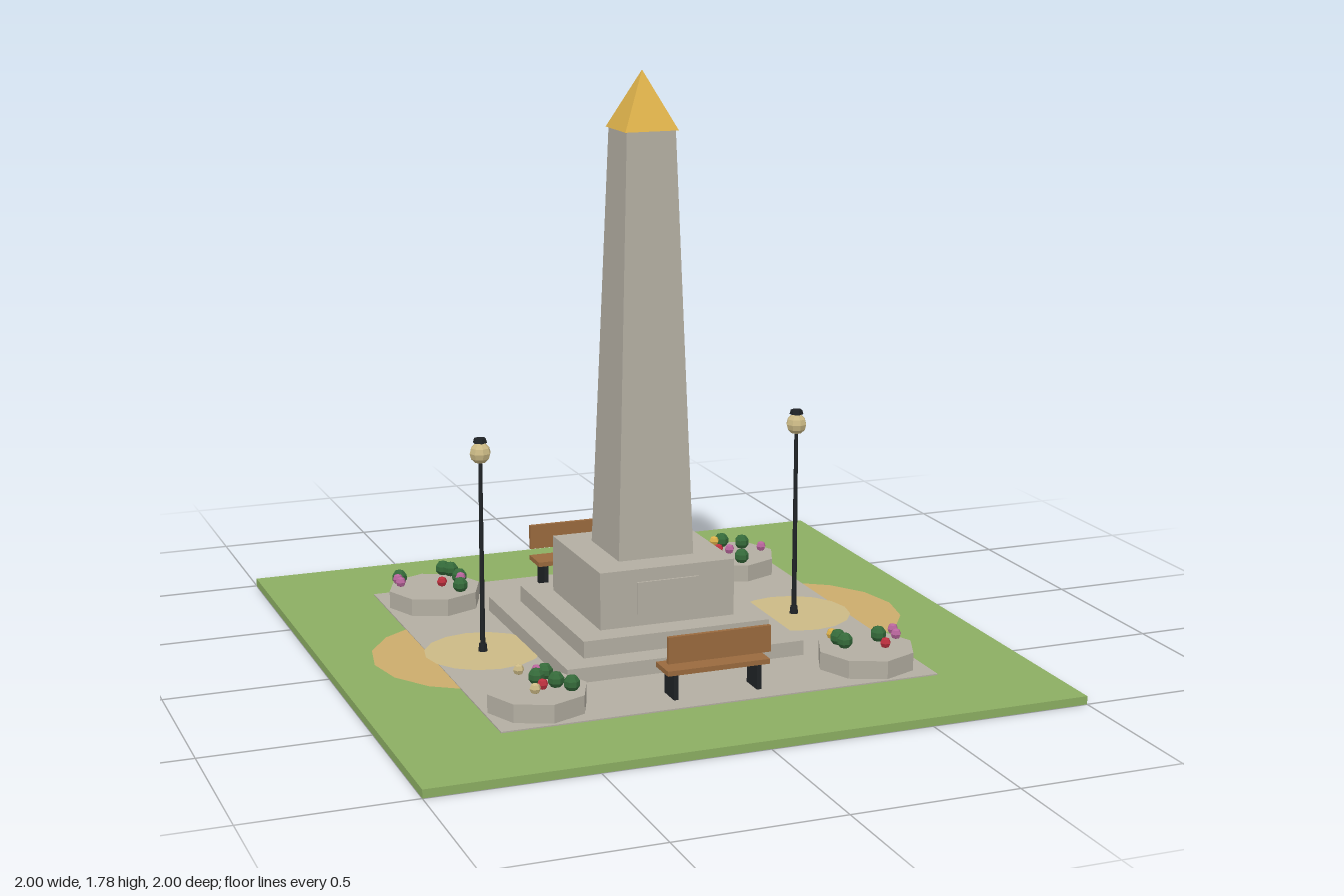
import * as THREE from 'three';

const mat = (name, color) => {
  const m = new THREE.MeshStandardMaterial({ color, flatShading: true });
  m.name = name;
  return m;
};

export function createModel() {
  const grass = mat('grass', 0x8cae62);
  const stone = mat('stone', 0xb3aea2);
  const gold = mat('gold', 0xdcb04a);
  const metal = mat('blackMetal', 0x1f2326);
  const wood = mat('wood', 0x9a6a3e);
  const glow = mat('outerGlow', 0xcbab6c);
  const cream = mat('lampCream', 0xcbb985);
  const leaf = mat('leaf', 0x356a3a);
  const pink = mat('pinkPetal', 0xb8659c);
  const red = mat('redPetal', 0xbc303e);

  const model = new THREE.Group();
  model.name = 'obeliskPlaza';

  const add = (parent, name, geo, material, x = 0, y = 0, z = 0) => {
    const mesh = new THREE.Mesh(geo, material);
    mesh.name = name;
    mesh.position.set(x, y, z);
    parent.add(mesh);
    return mesh;
  };
  // Box placed by its bottom height
  const box = (parent, name, w, h, d, material, x, y0, z) =>
    add(parent, name, new THREE.BoxGeometry(w, h, d), material, x, y0 + h / 2, z);
  // Square frustum given by half widths
  const frustum = (name, top, bottom, y0, y1, material) => {
    const geo = new THREE.CylinderGeometry(top * Math.SQRT2, bottom * Math.SQRT2, y1 - y0, 4);
    geo.rotateY(Math.PI / 4);
    add(model, name, geo, material, 0, (y0 + y1) / 2, 0);
  };

  // Ground and paving
  box(model, 'lawn', 2, 0.025, 2, grass, 0, 0, 0);
  box(model, 'paving', 1.36, 0.005, 1.36, stone, 0, 0.024, 0);

  // Monument
  box(model, 'lowerStep', 0.76, 0.05, 0.76, stone, 0, 0.025, 0);
  box(model, 'upperStep', 0.6, 0.052, 0.6, stone, 0, 0.075, 0);
  box(model, 'plinth', 0.435, 0.178, 0.435, stone, 0, 0.127, 0);
  box(model, 'plaque', 0.2, 0.1, 0.009, stone, 0, 0.165, 0.22);
  frustum('shaft', 0.078, 0.122, 0.305, 1.61, stone);
  frustum('goldCap', 0, 0.085, 1.607, 1.783, gold);

  // Lamps with pools of light
  for (const s of [-1, 1]) {
    const lamp = new THREE.Group();
    lamp.name = s > 0 ? 'leftLamp' : 'rightLamp';
    lamp.position.x = s * 0.52;
    model.add(lamp);
    const disc = (name, r, material, y) =>
      add(lamp, name, new THREE.CircleGeometry(r, 16).rotateX(-Math.PI / 2), material, 0, y, 0);
    disc('outerLightPool', 0.34, glow, 0.027);
    disc('innerLightPool', 0.18, cream, 0.031);
    add(lamp, 'lampBase', new THREE.CylinderGeometry(0.012, 0.015, 0.03, 8), metal, 0, 0.04, 0);
    add(lamp, 'lampPole', new THREE.CylinderGeometry(0.006, 0.008, 0.6, 6), metal, 0, 0.325, 0);
    add(lamp, 'lampGlobe', new THREE.SphereGeometry(0.033, 8, 6), cream, 0, 0.653, 0);
    add(lamp, 'lampCap', new THREE.CylinderGeometry(0.018, 0.022, 0.014, 6), metal, 0, 0.692, 0);
  }

  // Benches facing the monument
  for (const s of [-1, 1]) {
    const bench = new THREE.Group();
    bench.name = s > 0 ? 'frontBench' : 'backBench';
    if (s < 0) bench.rotation.y = Math.PI;
    model.add(bench);
    box(bench, 'seat', 0.32, 0.015, 0.095, wood, 0, 0.107, 0.578);
    box(bench, 'backrest', 0.32, 0.08, 0.013, wood, 0, 0.145, 0.622);
    for (const x of [-0.13, 0.13]) box(bench, 'benchLeg', 0.014, 0.083, 0.075, metal, x, 0.024, 0.578);
  }

  // Planters: each plant is [x, z] from the planter's centre
  const bushGeo = new THREE.SphereGeometry(0.025, 7, 5);
  const flowerGeo = new THREE.SphereGeometry(0.017, 6, 4);
  const planters = [
    { x: -0.52, z: -0.52,
      bush: [[-0.1, -0.06], [0.06, -0.107], [0.08, -0.085], [0.085, -0.005], [0.06, 0.09]],
      pink: [[-0.115, -0.025], [-0.115, 0.01], [0.08, 0.028]], red: [[0.01, 0.053]] },
    { x: 0.52, z: -0.52,
      bush: [[0, -0.08], [0.057, -0.037], [-0.01, 0.118]],
      pink: [[-0.104, 0.007], [-0.023, 0.044], [0.09, 0.05]], red: [[-0.056, 0.028]], gold: [[-0.034, -0.063]] },
    { x: -0.52, z: 0.52,
      bush: [[0.043, -0.06], [0.007, -0.028], [0.05, 0.02], [0.083, 0.063]],
      cream: [[-0.027, -0.087], [-0.034, 0.084]], pink: [[0.02, -0.065]], red: [[-0.003, 0.057]] },
    { x: 0.52, z: 0.52,
      bush: [[-0.075, -0.038], [-0.07, 0], [0.052, -0.022]],
      pink: [[0.108, -0.037], [0.095, 0.01]], red: [[0.028, 0.075]], gold: [[-0.085, -0.06]] },
  ];
  const petals = { pink, red, gold, cream };
  for (const p of planters) {
    const planter = new THREE.Group();
    planter.name = 'planter';
    planter.position.set(p.x, 0, p.z);
    model.add(planter);
    add(planter, 'planterBowl', new THREE.CylinderGeometry(0.15, 0.15, 0.083, 8), stone, 0, 0.0425, 0);
    for (const [x, z] of p.bush) add(planter, 'bush', bushGeo, leaf, x, 0.11, z);
    for (const key in petals)
      for (const [x, z] of p[key] || []) add(planter, key + 'Flower', flowerGeo, petals[key], x, 0.115, z);
  }
  return model;
}
